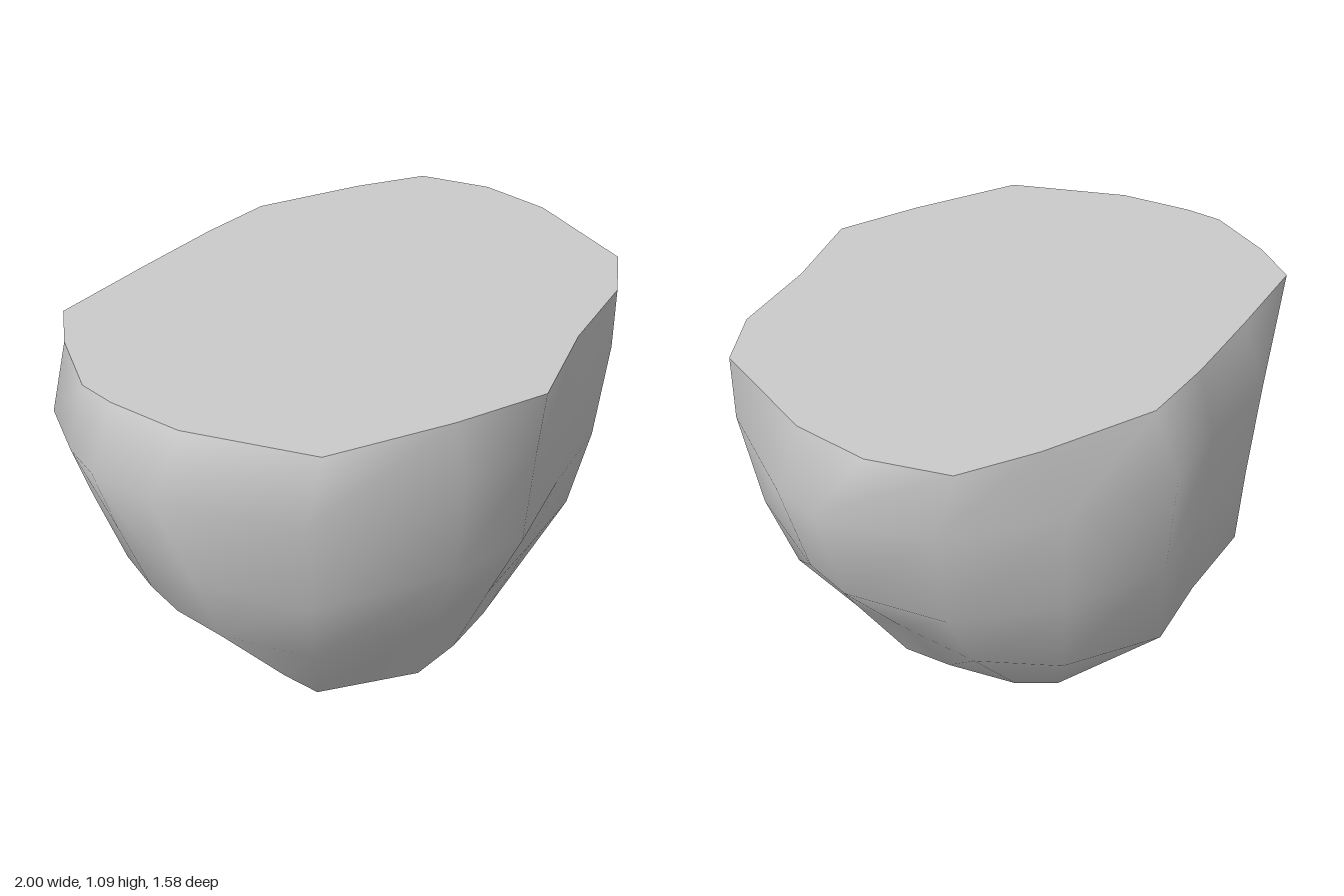
import * as THREE from 'three';

// Outlines as x, z pairs, anticlockwise seen from above
const BASE = [0.49, 0.04, 0.46, -0.12, 0.39, -0.34, 0.31, -0.45, 0.15, -0.5, -0.01, -0.53, -0.34, -0.48, -0.43, -0.36, -0.51, -0.2,
  -0.52, -0.08, -0.52, 0.08, -0.52, 0.2, -0.5, 0.33, -0.21, 0.49, -0.03, 0.48, 0.16, 0.44, 0.33, 0.38, 0.4, 0.24];
const WIDEST = [0.97, 0.03, 1, -0.14, 0.87, -0.46, 0.57, -0.67, 0.23, -0.79, -0.04, -0.73, -0.35, -0.7, -0.65, -0.55, -0.88, -0.38,
  -0.97, -0.17, -1, -0.03, -0.97, 0.2, -0.76, 0.58, -0.32, 0.74, -0.05, 0.77, 0.28, 0.64, 0.6, 0.54, 0.79, 0.4];
const RIM = [0.92, -0.02, 0.92, -0.27, 0.83, -0.5, 0.6, -0.6, 0.24, -0.71, -0.02, -0.68, -0.35, -0.62, -0.7, -0.55, -0.81, -0.39,
  -0.92, -0.15, -0.92, -0.02, -0.88, 0.22, -0.7, 0.58, -0.33, 0.71, -0.04, 0.785, 0.28, 0.64, 0.6, 0.54, 0.79, 0.4];
const SIDES = BASE.length / 2;
const HEIGHT = 1.09;

function ring(outline, heightAt) {
  const out = [];
  for (let i = 0; i < 2 * SIDES; i += 2) out.push(outline[i], heightAt(outline[i + 1]), outline[i + 1]);
  return out;
}

// Ring between the base and the widest outline; spread(x, z) tells how far out each corner lies
function blendRing(y, spread) {
  const outline = [];
  for (let i = 0; i < 2 * SIDES; i += 2) {
    const t = spread(WIDEST[i], WIDEST[i + 1]);
    outline.push(
      THREE.MathUtils.lerp(BASE[i], WIDEST[i], t),
      THREE.MathUtils.lerp(BASE[i + 1], WIDEST[i + 1], t),
    );
  }
  return ring(outline, () => y);
}

function geometryFrom(positions, index) {
  const geometry = new THREE.BufferGeometry();
  geometry.setAttribute('position', new THREE.Float32BufferAttribute(positions, 3));
  geometry.setIndex(index);
  geometry.computeVertexNormals();
  return geometry;
}

// Low bulges at the back and the front left
function lowSpread(x, z) {
  const back = 0.9 * Math.max(0, -z - 0.3) * (1 + 0.5 * Math.min(0, x));
  const frontLeft = 0.7 * Math.max(0, x) * Math.max(0, z);
  return 0.48 - 0.07 * x + back + frontLeft;
}

// Smooth skin joining the rings, open below, its bottom edge lifted slightly at the back
function wallGeometry() {
  const rings = [
    ring(BASE, (z) => 0.25 * Math.max(0, -z - 0.41)),
    blendRing(0.31, lowSpread),
    blendRing(0.57, (x, z) => 0.75 + 0.2 * Math.abs(z) + 0.04 * x),
    ring(WIDEST, () => 0.89),
    ring(RIM, () => HEIGHT),
  ];
  const index = [];
  for (let r = 0; r < rings.length - 1; r++) {
    for (let i = 0; i < SIDES; i++) {
      const a = r * SIDES + i;
      const b = r * SIDES + (i + 1) % SIDES;
      index.push(a, b, b + SIDES, a, b + SIDES, a + SIDES);
    }
  }
  return geometryFrom(rings.flat(), index);
}

// Flat fan closing the top, with its own normals for a crisp edge
function topGeometry() {
  const index = [];
  for (let i = 0; i < SIDES; i++) index.push(SIDES, i, (i + 1) % SIDES);
  return geometryFrom([...ring(RIM, () => HEIGHT), 0, HEIGHT, 0], index);
}

export function createModel() {
  const model = new THREE.Group();
  model.name = 'boulder';
  const material = new THREE.MeshStandardMaterial({ color: 0xcccccc, side: THREE.DoubleSide });
  const add = (name, geometry) => {
    const mesh = new THREE.Mesh(geometry, material);
    mesh.name = name;
    model.add(mesh);
  };
  add('rockSides', wallGeometry());
  add('flatTop', topGeometry());
  return model;
}
